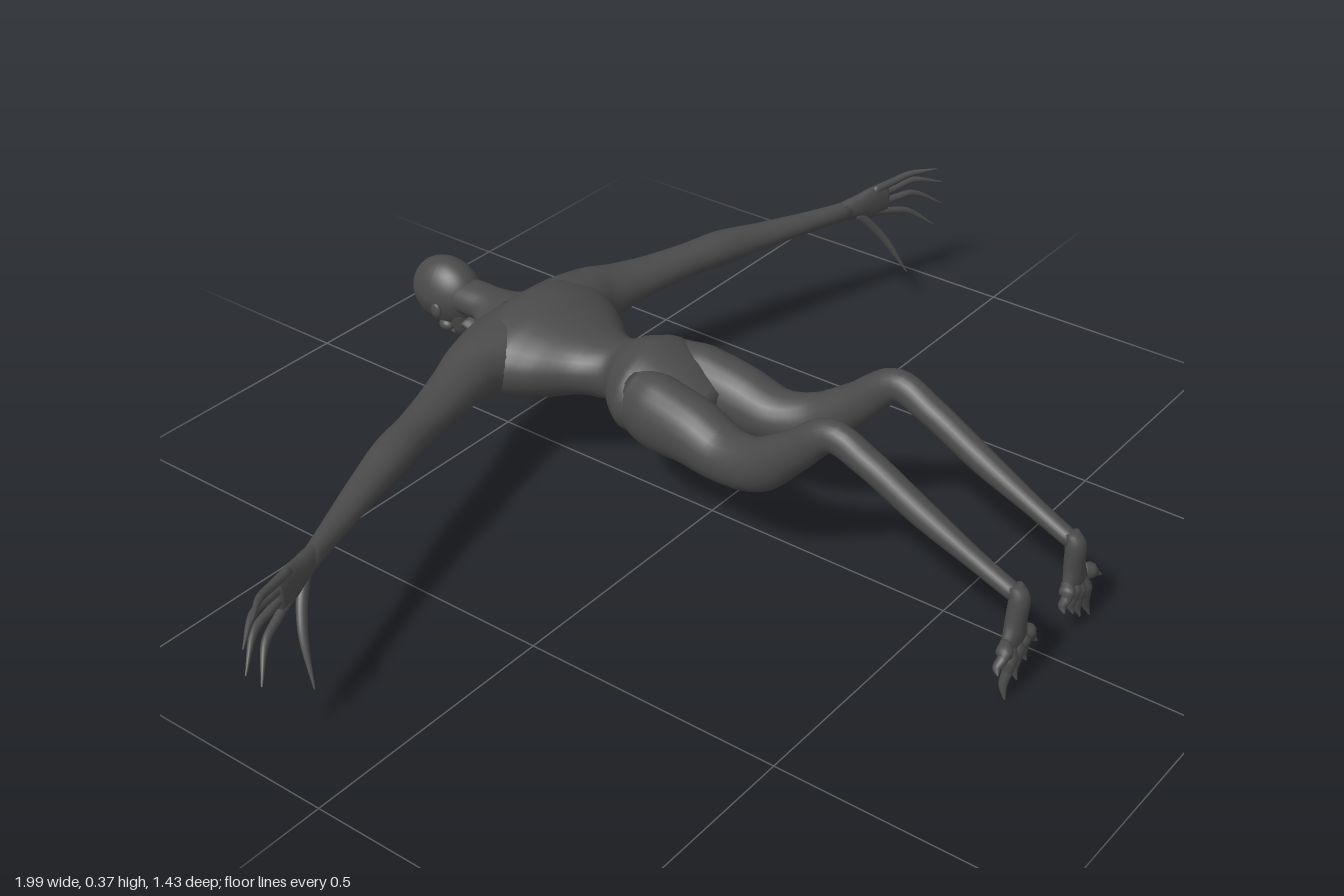
import * as THREE from 'three';

const skin = new THREE.MeshStandardMaterial({ color: 0x4a4a4a });
skin.name = 'charcoal skin';

// Smooth closed limb through sections [x, y, z, radius along hint, radius across]
function limb(name, sections, hint = [1, 0, 0], sides = 20, steps = 5) {
  const path = new THREE.CatmullRomCurve3(sections.map(s => new THREE.Vector3(s[0], s[1], s[2])));
  const radii = new THREE.CatmullRomCurve3(sections.map(s => new THREE.Vector3(s[3], s[4], 0)));
  const n = (sections.length - 1) * steps, pos = [], idx = [];
  const h = new THREE.Vector3(...hint);
  for (let i = 0; i <= n; i++) {
    const c = path.getPoint(i / n), r = radii.getPoint(i / n), t = path.getTangent(i / n);
    const u = h.clone().addScaledVector(t, -h.dot(t)).normalize();
    const v = t.clone().cross(u);
    for (let j = 0; j < sides; j++) {
      const a = j / sides * Math.PI * 2;
      const p = c.clone().addScaledVector(u, Math.cos(a) * Math.max(r.x, 0.001))
        .addScaledVector(v, Math.sin(a) * Math.max(r.y, 0.001));
      pos.push(p.x, p.y, p.z);
      if (i < n) {
        const q = i * sides + j, w = i * sides + (j + 1) % sides;
        idx.push(q, w, q + sides, w, w + sides, q + sides);
      }
    }
  }
  // end caps
  const first = pos.length / 3, a = path.getPoint(0), b = path.getPoint(1);
  pos.push(a.x, a.y, a.z, b.x, b.y, b.z);
  for (let j = 0; j < sides; j++) {
    const k = (j + 1) % sides;
    idx.push(first, k, j, first + 1, n * sides + j, n * sides + k);
  }
  const g = new THREE.BufferGeometry();
  g.setAttribute('position', new THREE.Float32BufferAttribute(pos, 3));
  g.setIndex(idx);
  g.computeVertexNormals();
  const m = new THREE.Mesh(g, skin);
  m.name = name;
  return m;
}

function ball(name, x, y, z, rx, ry, rz) {
  const m = new THREE.Mesh(new THREE.SphereGeometry(1, 20, 14), skin);
  m.name = name;
  m.position.set(x, y, z);
  m.scale.set(rx, ry, rz);
  return m;
}

// Skull with pressed-in eye sockets and narrowed face, looking down
function skull() {
  const g = new THREE.SphereGeometry(1, 48, 36), p = g.attributes.position;
  for (let i = 0; i < p.count; i++) {
    let x = p.getX(i) * 0.054, y = p.getY(i) * 0.072, z = p.getZ(i) * 0.076;
    if (y < 0) {
      x *= 1 + y * 3;
      const d = Math.hypot(Math.abs(x) - 0.021, z + 0.012);
      y += 0.016 * Math.exp(-((d / 0.012) ** 2));
    }
    p.setXYZ(i, x, y, z);
  }
  g.computeVertexNormals();
  const m = new THREE.Mesh(g, skin);
  m.name = 'skull';
  m.position.set(0, 0.25, -0.638);
  return m;
}

export function createModel() {
  const body = new THREE.Group();
  body.name = 'proneFigure';

  // Pelvis, pinched waist, ribcage and neck
  body.add(limb('trunk', [
    [0, 0.22, 0.0, 0.045, 0.03], [0, 0.225, -0.06, 0.095, 0.062], [0, 0.228, -0.13, 0.112, 0.087],
    [0, 0.23, -0.17, 0.09, 0.077], [0, 0.23, -0.205, 0.062, 0.06], [0, 0.228, -0.26, 0.085, 0.057],
    [0, 0.228, -0.32, 0.135, 0.075], [0, 0.23, -0.38, 0.165, 0.09], [0, 0.235, -0.43, 0.16, 0.086],
    [0, 0.24, -0.475, 0.12, 0.06], [0, 0.25, -0.505, 0.065, 0.036], [0, 0.257, -0.54, 0.042, 0.033],
    [0, 0.255, -0.61, 0.04, 0.035]], [1, 0, 0], 32));

  // Head
  const head = new THREE.Group();
  head.name = 'head';
  head.add(skull());
  head.add(limb('upperJaw', [[0, 0.225, -0.6, 0.036, 0.03], [0, 0.19, -0.597, 0.028, 0.023],
    [0, 0.172, -0.594, 0.017, 0.014]]));
  head.add(limb('chin', [[0, 0.215, -0.575, 0.036, 0.014], [0, 0.2, -0.552, 0.03, 0.014],
    [0, 0.18, -0.543, 0.018, 0.012], [0, 0.172, -0.542, 0.01, 0.007]]));
  head.add(limb('nose', [[0, 0.185, -0.66, 0.006, 0.008], [0, 0.172, -0.635, 0.008, 0.009],
    [0, 0.168, -0.617, 0.009, 0.008]], [1, 0, 0], 10));
  body.add(head);

  for (const s of [1, -1]) {
    const side = s > 0 ? 'left' : 'right';
    const add = (name, pts, hint, sides, steps) =>
      body.add(limb(side + name, pts.map(([x, ...r]) => [x * s, ...r]), hint, sides, steps));

    // Ear, cheekbone and collarbone
    head.add(ball(side + 'Ear', 0.052 * s, 0.235, -0.622, 0.006, 0.016, 0.012));
    head.add(ball(side + 'Cheekbone', 0.03 * s, 0.197, -0.618, 0.012, 0.012, 0.016));
    add('Collarbone', [[0.015, 0.185, -0.475, 0.007, 0.007], [0.08, 0.19, -0.478, 0.009, 0.009],
      [0.16, 0.225, -0.455, 0.009, 0.009]], [0, 0, 1], 10);

    // Shoulder yoke and long thin arm
    add('Arm', [
      [0.02, 0.25, -0.41, 0.085, 0.06], [0.1, 0.242, -0.418, 0.077, 0.062], [0.17, 0.236, -0.417, 0.06, 0.059],
      [0.23, 0.237, -0.402, 0.05, 0.045], [0.31, 0.24, -0.378, 0.042, 0.035], [0.4, 0.242, -0.352, 0.036, 0.033],
      [0.46, 0.243, -0.335, 0.037, 0.034], [0.56, 0.238, -0.305, 0.031, 0.027], [0.68, 0.236, -0.262, 0.022, 0.021],
      [0.77, 0.236, -0.228, 0.015, 0.02]], [0, 0, 1], 24);

    // Hand, four long clawed fingers and thumb
    add('Palm', [[0.74, 0.236, -0.24, 0.018, 0.015], [0.79, 0.237, -0.222, 0.026, 0.016],
      [0.835, 0.236, -0.207, 0.036, 0.013], [0.865, 0.235, -0.196, 0.03, 0.008]], [0, 1, 0]);
    [[0.262, 0.276, 0.965, 0.28], [0.246, 0.256, 0.99, 0.24], [0.23, 0.225, 0.992, 0.19], [0.214, 0.19, 0.965, 0.15]]
      .forEach(([y0, y1, x2, y2], i) => {
        const dx = x2 - 0.83;
        add('Finger' + (i + 1), [
          [0.83, y0, -0.208, 0.009, 0.009], [0.83 + dx * 0.35, (y0 + y1) / 2, -0.192, 0.008, 0.008],
          [0.83 + dx * 0.65, y1, -0.176, 0.007, 0.007], [x2, y2, -0.14, 0.0015, 0.0015]], [0, 1, 0], 10);
      });
    add('Thumb', [[0.785, 0.225, -0.222, 0.011, 0.011], [0.815, 0.19, -0.202, 0.01, 0.01],
      [0.84, 0.15, -0.178, 0.008, 0.008], [0.864, 0.08, -0.138, 0.0015, 0.0015]], [0, 0, 1], 10);

    // Buttock, thigh, bent knee and shin
    add('Leg', [
      [0.06, 0.235, -0.13, 0.045, 0.06], [0.065, 0.224, -0.07, 0.058, 0.073], [0.07, 0.218, 0.01, 0.058, 0.064],
      [0.078, 0.204, 0.09, 0.052, 0.052], [0.09, 0.22, 0.165, 0.042, 0.05], [0.097, 0.28, 0.242, 0.033, 0.038],
      [0.1, 0.345, 0.322, 0.026, 0.03], [0.098, 0.322, 0.39, 0.026, 0.026], [0.096, 0.264, 0.5, 0.024, 0.024],
      [0.094, 0.212, 0.61, 0.018, 0.017], [0.092, 0.178, 0.685, 0.016, 0.015]], [1, 0, 0], 24);

    // Foot hanging down from the ankle
    add('Foot', [[0.092, 0.196, 0.682, 0.014, 0.01], [0.092, 0.175, 0.69, 0.019, 0.018],
      [0.096, 0.13, 0.69, 0.023, 0.017], [0.1, 0.095, 0.692, 0.035, 0.014], [0.101, 0.078, 0.694, 0.03, 0.007]]);
    // Splayed, hooked toes
    [[0.076, 0.045, 0.065], [0.087, 0.078, 0.045], [0.1, 0.106, 0.022], [0.113, 0.142, 0.004], [0.124, 0.172, 0.072]]
      .forEach(([x0, x1, y1], i) => add('Toe' + (i + 1), [
        [x0, 0.105, 0.69, 0.01, 0.01], [x0 * 0.5 + x1 * 0.5, 0.055 + y1 * 0.5, 0.7, 0.01, 0.01],
        [x0 * 0.2 + x1 * 0.8, 0.025 + y1 * 0.75, 0.698, 0.008, 0.008], [x1, y1, 0.706, 0.0015, 0.0015]],
        [0, 0, 1], 10));
  }
  return body;
}
